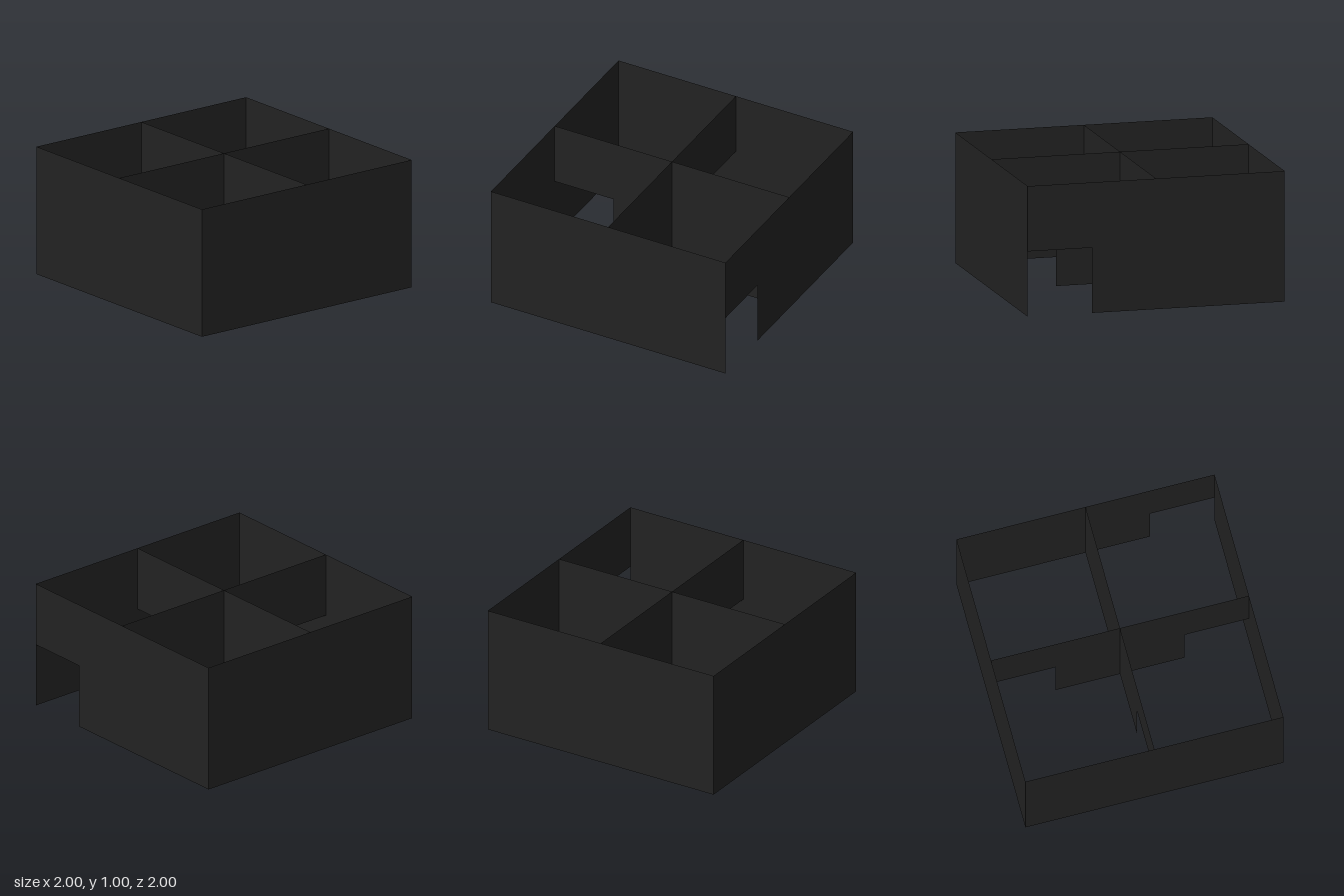
import * as THREE from 'three';

const HALF = 1, HEIGHT = 1, DOOR = 0.5;

// Upright sheet from u = -1 to 1, with an optional doorway at either end
function wallGeometry(doorAtStart, doorAtEnd) {
  const points = [[-HALF, HEIGHT]];
  if (doorAtStart) points.push([-HALF, DOOR], [-HALF + DOOR, DOOR], [-HALF + DOOR, 0]);
  else points.push([-HALF, 0]);
  if (doorAtEnd) points.push([HALF - DOOR, 0], [HALF - DOOR, DOOR], [HALF, DOOR]);
  else points.push([HALF, 0]);
  points.push([HALF, HEIGHT]);
  return new THREE.ShapeGeometry(new THREE.Shape(points.map(([u, v]) => new THREE.Vector2(u, v))));
}

export function createModel() {
  const model = new THREE.Group();
  model.name = 'fourRoomEnclosure';

  const charcoal = new THREE.MeshStandardMaterial({ color: 0x222222, side: THREE.DoubleSide });
  charcoal.name = 'charcoal';

  // Walls along x sit at a z offset; walls along z sit at an x offset
  const walls = [
    { name: 'frontWall', axis: 'x', offset: 1 },
    { name: 'backWall', axis: 'x', offset: -1 },
    { name: 'leftWallWithEntrance', axis: 'z', offset: 1, doorAtEnd: true },
    { name: 'rightWall', axis: 'z', offset: -1 },
    { name: 'crossDivider', axis: 'x', offset: 0, doorAtStart: true },
    { name: 'lengthDivider', axis: 'z', offset: 0, doorAtStart: true, doorAtEnd: true },
  ];

  for (const { name, axis, offset, doorAtStart, doorAtEnd } of walls) {
    const wall = new THREE.Mesh(wallGeometry(doorAtStart, doorAtEnd), charcoal);
    wall.name = name;
    if (axis === 'x') {
      wall.position.z = offset;
    } else {
      wall.rotation.y = -Math.PI / 2;
      wall.position.x = offset;
    }
    model.add(wall);
  }
  return model;
}
